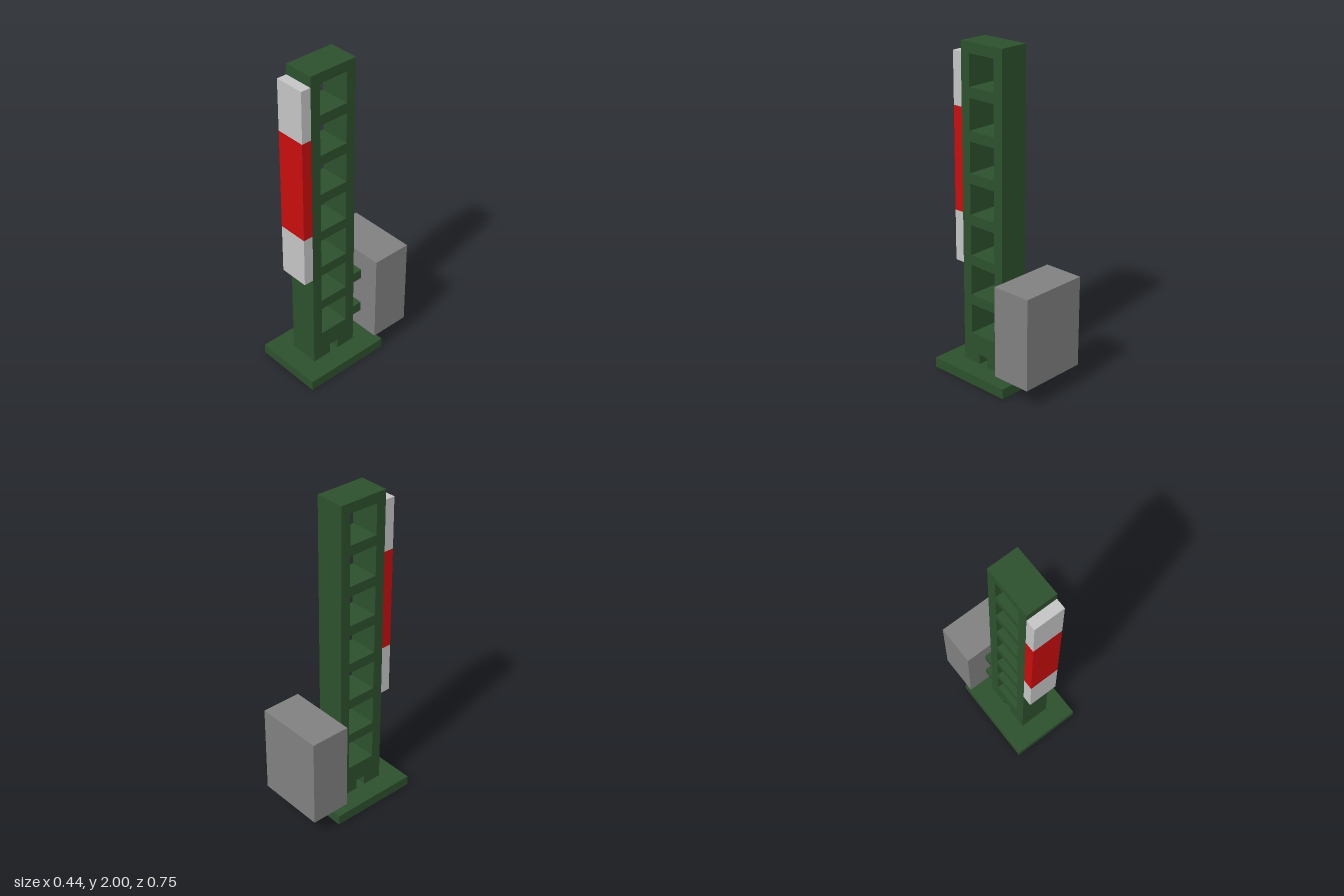
import * as THREE from 'three';

const U = 1 / 16; // modelling unit

export function createModel() {
  const group = new THREE.Group();
  const mat = (name, color) => {
    const m = new THREE.MeshStandardMaterial({ color });
    m.name = name;
    return m;
  };
  const green = mat('darkGreen', 0x2d502d);
  const grey = mat('midGrey', 0x808080);
  const white = mat('lightGrey', 0xc4c4c4);
  const red = mat('signalRed', 0xc80d0d);

  // Box from its x half-width and its y and z ranges, in units
  const box = (name, material, halfX, y0, y1, z0, z1) => {
    const mesh = new THREE.Mesh(
      new THREE.BoxGeometry(2 * halfX * U, (y1 - y0) * U, (z1 - z0) * U), material);
    mesh.position.set(0, (y0 + y1) / 2 * U, (z0 + z1) / 2 * U);
    mesh.name = name;
    group.add(mesh);
  };

  // Foot plate
  box('footPlate', green, 3.5, 0, 1, -3, 6);

  // Ladder-like post: side profile (z, y) with a notch at the foot and square openings
  const points = (list) => list.map(([z, y]) => new THREE.Vector2(z * U, y * U));
  const profile = new THREE.Shape(points([
    [-1, 1], [1, 1], [1, 2], [2, 2], [2, 1], [4, 1], [4, 32], [-1, 32],
  ]));
  for (let y = 4; y <= 28; y += 4) {
    profile.holes.push(new THREE.Path(points([[0, y], [0, y + 3], [3, y + 3], [3, y]])));
  }
  const postGeometry = new THREE.ExtrudeGeometry(profile, { depth: 3 * U, bevelEnabled: false });
  postGeometry.translate(0, 0, -1.5 * U).rotateY(-Math.PI / 2);
  const post = new THREE.Mesh(postGeometry, green);
  post.name = 'post';
  group.add(post);

  // Striped board on the front
  box('boardLower', white, 1.5, 11, 16, 4, 5);
  box('boardMiddle', red, 1.5, 16, 26, 4, 5);
  box('boardUpper', white, 1.5, 26, 31, 4, 5);

  // Cabinet on two brackets at the back
  for (const y of [4, 8]) box('cabinetBracket', green, 1.5, y, y + 1, -2, -1);
  box('cabinet', grey, 3.5, 2, 11, -6, -2);

  return group;
}
